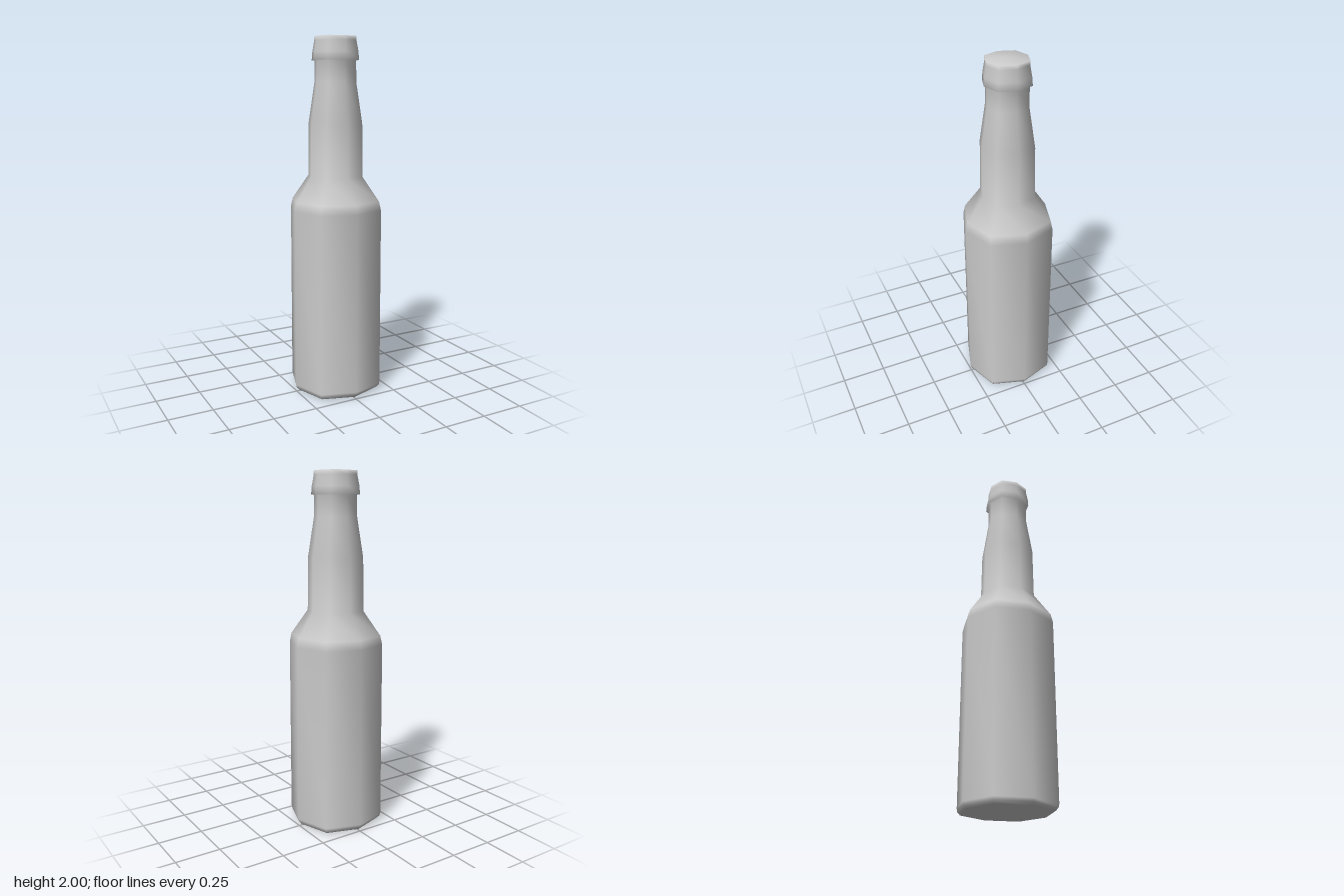
import * as THREE from 'three';
import { mergeVertices } from 'three/addons/utils/BufferGeometryUtils.js';

// Eight-sided turned shape with slightly pushed-out diagonals and smooth normals
function octagonalLathe(profile) {
  const points = profile.map(([r, y]) => new THREE.Vector2(r, y));
  const lathe = new THREE.LatheGeometry(points, 8);
  const pos = lathe.attributes.position;
  for (let i = 0; i < pos.count; i++) {
    const x = pos.getX(i), z = pos.getZ(i);
    const diagonal = Math.min(Math.abs(x), Math.abs(z)) > 0.001;
    const s = diagonal ? 1.06 : 1;
    pos.setXYZ(i, x * s, pos.getY(i), z * s);
  }
  lathe.deleteAttribute('normal');
  lathe.deleteAttribute('uv');
  const geometry = mergeVertices(lathe, 1e-4);
  geometry.computeVertexNormals();
  return geometry;
}

export function createModel() {
  const group = new THREE.Group();
  group.name = 'bottle';

  const profile = [
    [0, 0], [0.236, 0.007], [0.25, 0.022],    // base
    [0.254, 0.04], [0.251, 1.05],             // body
    [0.24, 1.1], [0.15, 1.235],               // shoulder
    [0.146, 1.53], [0.113, 1.75], [0.112, 1.865], // neck
    [0.127, 1.867], [0.124, 1.91], [0.113, 1.97], // lip
    [0.114, 1.993], [0, 2],                   // closed top
  ];

  const bottle = new THREE.Mesh(
    octagonalLathe(profile),
    new THREE.MeshStandardMaterial({ color: 0xcccccc })
  );
  bottle.name = 'bottleBody';
  group.add(bottle);
  return group;
}
